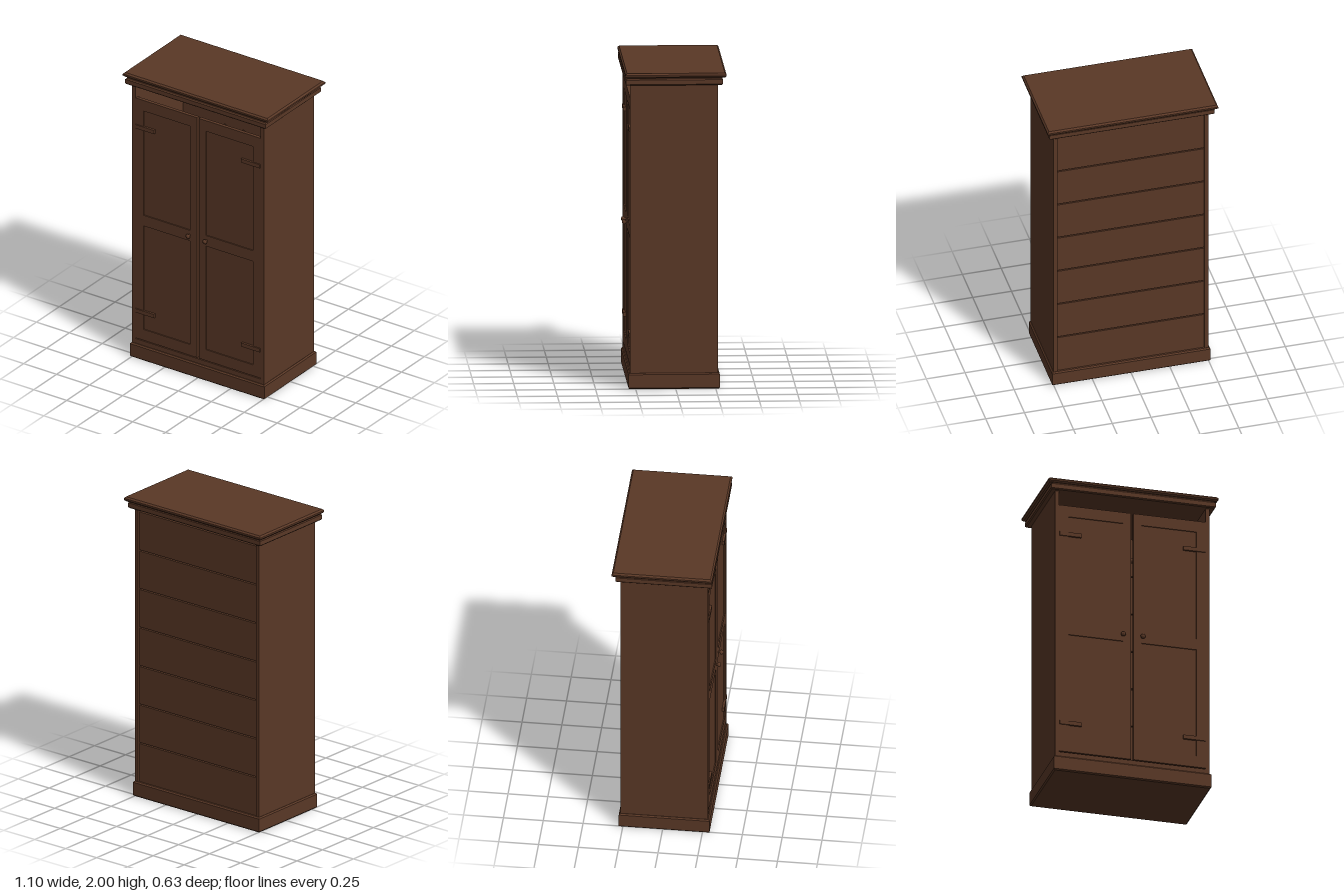
import * as THREE from 'three';

const wood = new THREE.MeshStandardMaterial({ color: 0x5a3826 });
wood.name = 'brown wood';

function add(parent, name, geometry, x = 0, y = 0, z = 0) {
  const mesh = new THREE.Mesh(geometry, wood);
  mesh.name = name;
  mesh.position.set(x, y, z);
  parent.add(mesh);
  return mesh;
}

// Plain box given by its limits
function block(parent, name, [x0, x1], [y0, y1], [z0, z1]) {
  return add(parent, name, new THREE.BoxGeometry(x1 - x0, y1 - y0, z1 - z0),
    (x0 + x1) / 2, (y0 + y1) / 2, (z0 + z1) / 2);
}

function rectangle(path, x0, x1, y0, y1) {
  path.moveTo(x0, y0);
  path.lineTo(x1, y0);
  path.lineTo(x1, y1);
  path.lineTo(x0, y1);
  path.closePath();
  return path;
}

// Board with chamfered top and bottom edges
function board(parent, name, halfX, [y0, y1], [z0, z1], c) {
  const shape = rectangle(new THREE.Shape(), -halfX + c, halfX - c, -z1 + c, -z0 - c);
  const geometry = new THREE.ExtrudeGeometry(shape, {
    depth: y1 - y0 - 2 * c, bevelThickness: c, bevelSize: c, bevelSegments: 1,
  });
  geometry.rotateX(-Math.PI / 2);
  return add(parent, name, geometry, 0, y0 + c, 0);
}

// Door on one side: frame with two sunken panels, strap hinges and a knob
function makeDoor(side) {
  const door = new THREE.Group();
  door.name = side > 0 ? 'leftDoor' : 'rightDoor';
  const span = (a, b) => (side > 0 ? [a, b] : [-b, -a]);

  const frame = rectangle(new THREE.Shape(), ...span(0.007, 0.474), 0.138, 1.83);
  for (const [low, high] of [[0.215, 0.945], [1.02, 1.755]]) {
    frame.holes.push(rectangle(new THREE.Path(), ...span(0.06, 0.415), low, high));
    block(door, 'doorPanel', span(0.055, 0.42), [low - 0.005, high + 0.005], [0.262, 0.276]);
  }
  add(door, 'doorFrame',
    new THREE.ExtrudeGeometry(frame, { depth: 0.023, bevelEnabled: false }), 0, 0, 0.26);

  for (const y of [0.335, 1.633]) {
    block(door, 'hinge', span(0.33, 0.472), [y - 0.013, y + 0.013], [0.275, 0.29]);
  }

  const profile = [[0, 0], [0.007, 0], [0.007, 0.012], [0.013, 0.016], [0.016, 0.022],
    [0.013, 0.029], [0.007, 0.033], [0, 0.034]].map(([r, h]) => new THREE.Vector2(r, h));
  add(door, 'knob', new THREE.LatheGeometry(profile, 16), side * 0.064, 0.985, 0.281)
    .rotation.x = Math.PI / 2;
  return door;
}

// Triangular hanger with a hook over the rod
function makeHanger(x) {
  const hanger = new THREE.Group();
  hanger.name = 'hanger';
  const point = (y, z) => new THREE.Vector3(0, y, z);
  const triangle = new THREE.CurvePath();
  const corners = [point(1.57, 0), point(1.46, 0.18), point(1.46, -0.18)];
  corners.forEach((p, i) => triangle.add(new THREE.LineCurve3(p, corners[(i + 1) % 3])));
  add(hanger, 'hangerBody', new THREE.TubeGeometry(triangle, 48, 0.006, 6, true));
  const hook = new THREE.CatmullRomCurve3(
    [point(1.57, 0), point(1.62, 0.025), point(1.665, 0), point(1.64, -0.028)]);
  add(hanger, 'hangerHook', new THREE.TubeGeometry(hook, 14, 0.004, 6));
  hanger.position.x = x;
  return hanger;
}

export function createModel() {
  const wardrobe = new THREE.Group();
  wardrobe.name = 'wardrobe';

  // Plinth and stacked cornice
  board(wardrobe, 'plinth', 0.51, [0, 0.1], [-0.275, 0.295], 0.008);
  board(wardrobe, 'corniceLower', 0.533, [1.922, 1.964], [-0.293, 0.313], 0.007);
  board(wardrobe, 'corniceNeck', 0.52, [1.955, 1.978], [-0.285, 0.3], 0.002);
  board(wardrobe, 'corniceTop', 0.55, [1.97, 2], [-0.315, 0.315], 0.01);

  // Side walls and the sill under the doors
  for (const side of [-1, 1]) {
    const x = side > 0 ? [0.475, 0.5] : [-0.5, -0.475];
    block(wardrobe, 'sideWall', x, [0.09, 1.93], [-0.265, 0.285]);
  }
  block(wardrobe, 'sill', [-0.475, 0.475], [0.09, 0.132], [0.25, 0.282]);

  // Back planks with narrow gaps
  const pitch = 1.8 / 7;
  for (let i = 0; i < 7; i++) {
    const y = 0.1 + i * pitch;
    block(wardrobe, 'backPlank', [-0.474, 0.474],
      [y + (i ? 0.004 : 0), y + pitch - (i < 6 ? 0.004 : 0)], [-0.255, -0.235]);
  }

  // Hanging rod and hangers inside
  add(wardrobe, 'rod', new THREE.CylinderGeometry(0.015, 0.015, 0.95, 12), 0, 1.64, 0)
    .rotation.z = Math.PI / 2;
  for (const x of [0, 0.14, 0.28]) wardrobe.add(makeHanger(x));

  wardrobe.add(makeDoor(1), makeDoor(-1));
  return wardrobe;
}
